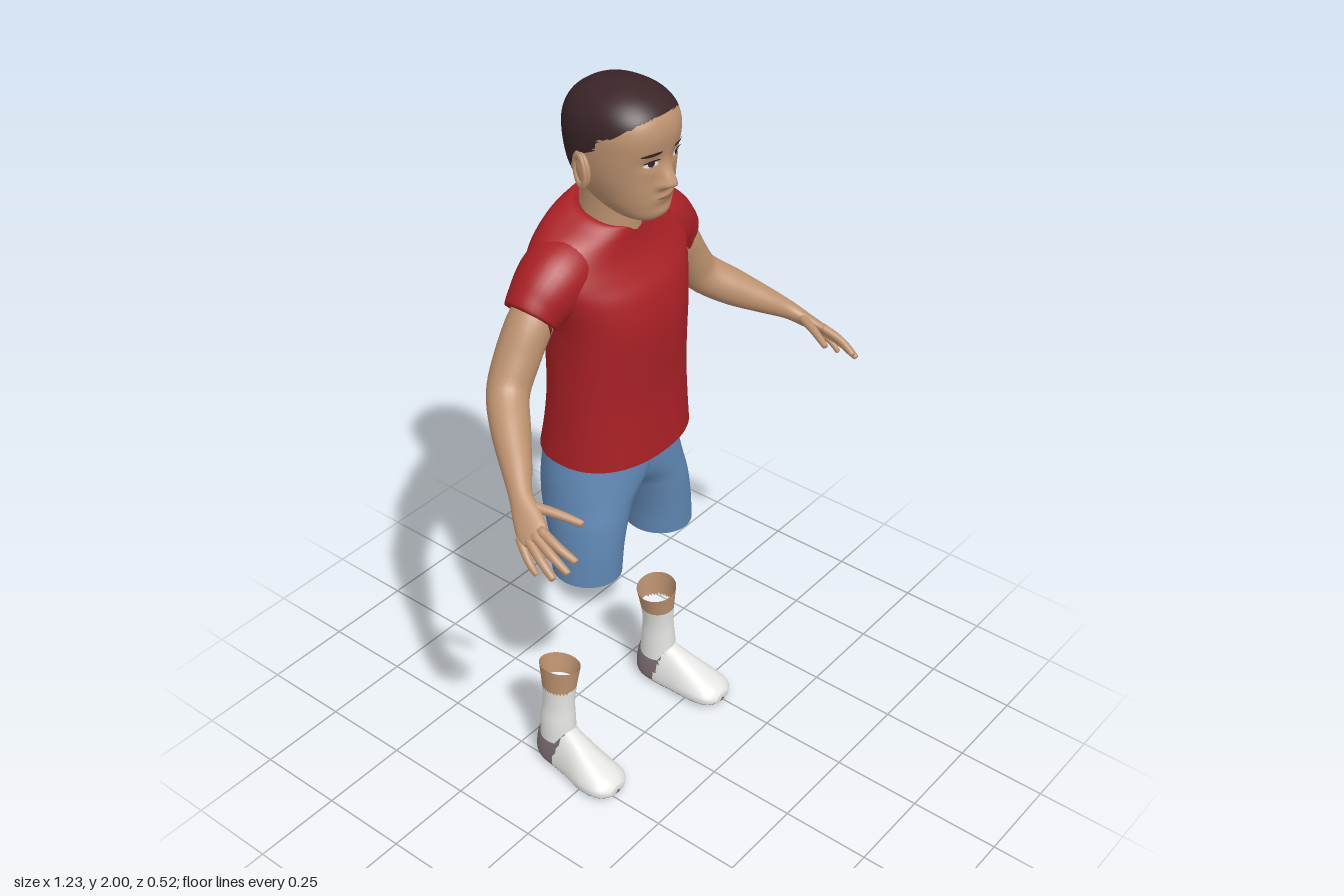
import * as THREE from 'three';
import { toCreasedNormals } from 'three/addons/utils/BufferGeometryUtils.js';

const mat = (name, color, side = THREE.FrontSide) => {
  const m = new THREE.MeshStandardMaterial({ color, side });
  m.name = name;
  return m;
};
const skin = mat('skin', 0xbd9270, THREE.DoubleSide);
const hair = mat('hair', 0x3a2427);
const red = mat('shirtRed', 0xa82025, THREE.DoubleSide);
const blue = mat('shortsBlue', 0x5f86b2, THREE.DoubleSide);
const white = mat('white', 0xe4e4e2);
const mauve = mat('heelMauve', 0x7c6d73);
const dark = mat('soleDark', 0x484a48);
const lip = mat('lip', 0x94624f);

// Smooth interpolation through rows of numbers, t from 0 to 1
function at(rows, t) {
  const f = Math.min(Math.max(t, 0), 1) * (rows.length - 1);
  const i = Math.min(Math.floor(f), rows.length - 2), u = f - i;
  const [a, b, c, d] = [-1, 0, 1, 2].map(k => rows[Math.min(Math.max(i + k, 0), rows.length - 1)]);
  return b.map((_, k) => b[k] + 0.5 * u * (c[k] - a[k] + u * (2 * a[k] - 5 * b[k] + 4 * c[k] - d[k]
    + u * (3 * (b[k] - c[k]) + d[k] - a[k]))));
}
const sample = (rows, n) => Array.from({ length: n + 1 }, (_, i) => at(rows, i / n));

// Skin a list of rings; each ring runs counter-clockwise around the direction of travel
function loft(rings, capStart = false, capEnd = false) {
  const n = rings[0].length, pos = rings.flat(2), idx = [];
  for (let i = 0; i < rings.length - 1; i++) for (let j = 0; j < n; j++) {
    const a = i * n + j, b = i * n + (j + 1) % n;
    idx.push(a, b, b + n, a, b + n, a + n);
  }
  const cap = (r, end) => {
    const c = pos.length / 3;
    for (let k = 0; k < 3; k++) pos.push(rings[r].reduce((s, p) => s + p[k], 0) / n);
    for (let j = 0; j < n; j++) {
      const a = r * n + j, b = r * n + (j + 1) % n;
      idx.push(c, ...(end ? [a, b] : [b, a]));
    }
  };
  if (capStart) cap(0, false);
  if (capEnd) cap(rings.length - 1, true);
  const g = new THREE.BufferGeometry();
  g.setAttribute('position', new THREE.Float32BufferAttribute(pos, 3));
  g.setIndex(idx);
  g.computeVertexNormals();
  return g;
}
const spow = (v, p) => Math.sign(v) * Math.abs(v) ** p;
const ring = (n, fn) => Array.from({ length: n }, (_, j) => fn(Math.cos(j / n * 2 * Math.PI), Math.sin(j / n * 2 * Math.PI)));

// Tube through rows [x, y, z, radius along 'up', other radius]
function tube(rows, up, steps, sides) {
  const rings = sample(rows, steps).map((r, i) => {
    const p = new THREE.Vector3(...at(rows, (i - 0.5) / steps)), q = new THREE.Vector3(...at(rows, (i + 0.5) / steps));
    const d = q.sub(p).normalize();
    const u = up.clone().addScaledVector(d, -up.dot(d)).normalize(), v = d.clone().cross(u);
    return ring(sides, (c, s) => [0, 1, 2].map(k => r[k] + r[3] * c * u.getComponent(k) + r[4] * s * v.getComponent(k)));
  });
  return loft(rings, true, true);
}

// Sort triangles into material groups by their centre point
function paint(g, pick, count) {
  const P = g.attributes.position, src = g.index.array, bins = Array.from({ length: count }, () => []);
  for (let i = 0; i < src.length; i += 3) {
    const t = [src[i], src[i + 1], src[i + 2]];
    const mid = f => (f(t[0]) + f(t[1]) + f(t[2])) / 3;
    bins[pick(mid(k => P.getX(k)), mid(k => P.getY(k)), mid(k => P.getZ(k)))].push(...t);
  }
  g.setIndex(bins.flat());
  let start = 0;
  bins.forEach((b, m) => { g.addGroup(start, b.length, m); start += b.length; });
  return g;
}
function mirror(g) {
  const m = g.clone().scale(-1, 1, 1), a = m.index.array;
  for (let i = 0; i < a.length; i += 3) [a[i + 1], a[i + 2]] = [a[i + 2], a[i + 1]];
  m.computeVertexNormals();
  return m;
}

// Head rows: height, half width, back z, front z
const headRows = [[1.675, .035, -.04, .035], [1.69, .062, -.08, .05], [1.72, .084, -.135, .057], [1.76, .101, -.18, .06],
  [1.80, .113, -.198, .06], [1.85, .12, -.208, .066], [1.90, .121, -.21, .071], [1.94, .111, -.198, .059],
  [1.97, .087, -.173, .028], [1.99, .05, -.13, -.015], [1.999, .012, -.075, -.055]];
const FACE = 2.3;
const bump = (x, y, cx, cy, w, h) => Math.exp(-(((x - cx) / w) ** 2) - ((y - cy) / h) ** 2);
// Nose, eye sockets, lips and chin
const relief = (x, y) => .036 * bump(x, y, 0, 1.78, .019, y > 1.78 ? .036 : .014)
  + .008 * bump(Math.abs(x), y, .019, 1.775, .01, .01)
  - .008 * bump(Math.abs(x), y, .045, 1.838, .026, .016)
  + .008 * bump(x, y, 0, 1.74, .03, .014) + .006 * bump(x, y, 0, 1.7, .03, .015);
function faceZ(x, y) {
  let lo = 0, hi = 1;
  for (let i = 0; i < 30; i++) {
    const m = (lo + hi) / 2;
    if (at(headRows, m)[0] < y) lo = m; else hi = m;
  }
  const [, rx, zb, zf] = at(headRows, lo);
  return (zb + zf) / 2 + (zf - zb) / 2 * Math.max(0, 1 - Math.abs(x / rx) ** FACE) ** (1 / FACE) + relief(x, y);
}
// Thin painted oval that follows the face
function oval(cx, cy, w, h, lift, turn = 0) {
  const g = new THREE.CircleGeometry(1, 20).scale(w, h, 1).rotateZ(turn).translate(cx, cy, 0), P = g.attributes.position;
  for (let i = 0; i < P.count; i++) P.setZ(i, faceZ(P.getX(i), P.getY(i)) + lift);
  g.computeVertexNormals();
  return g;
}
const hairline = [[-.165, 1.75], [-.145, 1.79], [-.11, 1.84], [-.055, 1.862], [-.04, 1.895], [0, 1.908], [.03, 1.93], [.055, 1.945]];
function hairY(z) {
  if (z <= hairline[0][0]) return hairline[0][1];
  for (let i = 1; i < hairline.length; i++) {
    const [z0, y0] = hairline[i - 1], [z1, y1] = hairline[i];
    if (z < z1) return y0 + (y1 - y0) * (z - z0) / (z1 - z0);
  }
  return 1.945;
}

export function createModel() {
  const model = new THREE.Group();
  model.name = 'boy';
  const add = (name, g, m) => {
    const mesh = new THREE.Mesh(g, m);
    mesh.name = name;
    model.add(mesh);
  };
  const pair = (name, g, m, finish = x => x) => {
    add(name + 'Left', finish(g), m);
    add(name + 'Right', finish(mirror(g)), m);
  };

  // Head with hair
  const head = loft(sample(headRows, 84).map(([y, rx, zb, zf]) => ring(96, (c, s) => {
    const x = rx * spow(c, 2 / FACE);
    return [x, y, (zb + zf) / 2 - (zf - zb) / 2 * spow(s, 2 / FACE) + (s < 0 ? relief(x, y) * Math.min(1, -s * 3) : 0)];
  })), true, true);
  add('head', paint(head, (x, y, z) => (y > hairY(z) ? 1 : 0), 2), [skin, hair]);
  add('neck', loft(sample([[1.58, .085, -.11, .085], [1.66, .074, -.103, .082], [1.72, .074, -.1, .08], [1.78, .08, -.1, .08]], 10)
    .map(([y, rx, cz, rz]) => ring(32, (c, s) => [rx * c, y, cz - rz * s]))), skin);

  // Ears
  const place = g => g.rotateX(-.2).rotateY(.3).translate(.122, 1.81, -.083);
  pair('ear', place(new THREE.SphereGeometry(1, 20, 14).scale(.012, .042, .026)), skin);
  pair('earRim', place(new THREE.TorusGeometry(.021, .006, 8, 24).rotateY(Math.PI / 2).scale(1, 1.75, 1).translate(.009, 0, 0)), skin);

  // Face details
  pair('eyeWhite', oval(.046, 1.836, .019, .008, .003), white);
  pair('iris', oval(.045, 1.837, .0085, .008, .005), hair);
  pair('eyelid', oval(.047, 1.844, .022, .003, .006, -.1), hair);
  pair('eyebrow', oval(.048, 1.862, .027, .0045, .003, -.06), hair);
  add('mouth', oval(0, 1.742, .03, .0045, .003), lip);

  // Shirt body: height, half width, centre z, half depth, tilt of the ring
  const shirt = [[1.02, .212, -.098, .161, 0], [1.1, .205, -.093, .151, 0], [1.2, .199, -.09, .144, 0], [1.3, .196, -.09, .148, 0],
    [1.4, .2, -.091, .15, 0], [1.48, .222, -.104, .145, 0], [1.54, .245, -.117, .13, .1], [1.59, .235, -.123, .114, .2],
    [1.635, .185, -.12, .1, .3], [1.66, .125, -.113, .09, .35], [1.672, .088, -.11, .082, .35], [1.66, .07, -.108, .07, .35]];
  add('shirtBody', loft(sample(shirt, 66).map(([y, rx, cz, rz, t]) =>
    ring(64, (c, s) => [rx * spow(c, .88), y + t * rz * s, cz - rz * spow(s, .88)]))), red);
  pair('sleeve', tube([[.1, 1.565, -.122, .08, .085], [.17, 1.548, -.122, .09, .09], [.215, 1.52, -.123, .089, .085],
    [.25, 1.493, -.125, .08, .074], [.274, 1.472, -.125, .07, .066], [.268, 1.475, -.125, .056, .056]],
  new THREE.Vector3(.46, .887, 0), 20, 32), red);

  // Arms and palms
  const across = new THREE.Vector3(-.46, .4, .79);
  pair('arm', tube([[.2, 1.525, -.125, .054, .054], [.272, 1.46, -.125, .057, .057], [.325, 1.38, -.126, .056, .055],
    [.372, 1.31, -.115, .052, .053], [.43, 1.26, -.055, .047, .049], [.487, 1.218, .012, .037, .036], [.528, 1.187, .06, .029, .025],
    [.553, 1.16, .1, .036, .019], [.572, 1.138, .133, .039, .015], [.58, 1.128, .15, .03, .009]], across, 48, 28), skin);

  // Fingers: base, middle, tip
  const fingers = {
    index: [[.562, 1.15, .148], [.567, 1.13, .205], [.56, 1.107, .25]],
    middle: [[.574, 1.139, .14], [.584, 1.113, .202], [.583, 1.086, .246]],
    ring: [[.582, 1.128, .126], [.6, 1.1, .182], [.606, 1.072, .222]],
    pinky: [[.588, 1.12, .108], [.606, 1.088, .148], [.609, 1.062, .174]],
    thumb: [[.538, 1.178, .09], [.512, 1.168, .155], [.489, 1.152, .208]],
  };
  for (const [name, [a, b, c]] of Object.entries(fingers)) {
    const k = name === 'pinky' ? .85 : 1, tip = c.map((v, i) => v + (c[i] - b[i]) * .08);
    pair(name + 'Finger', tube([[...a, .013 * k, .012 * k], [...b, .0115 * k, .011 * k], [...c, .009 * k, .008 * k],
      [...tip, .004, .004]], across, 12, 12), skin);
  }

  // Shorts: height, centre x, half width, centre z, half depth; halves meet on the middle plane
  const leg = sample([[.667, .148, .088, -.075, .095], [.75, .14, .09, -.08, .102], [.83, .122, .102, -.095, .117],
    [.88, .1, .117, -.107, .127], [.95, .045, .166, -.116, .137], [1.02, 0, .2, -.118, .138], [1.08, 0, .192, -.11, .13]], 36)
    .map(([y, cx, rx, cz, rz]) => ring(64, (c, s) => [Math.max(0, cx + rx * c), y, cz - rz * s]));
  pair('shortsLeg', loft(leg), blue, g => toCreasedNormals(g, .9));

  // Lower legs with socks, open at the top
  const shin = sample([[.09, .222, .048, -.13, .054, 0], [.15, .222, .046, -.13, .052, 0], [.21, .219, .042, -.128, .047, 0],
    [.27, .215, .046, -.128, .05, .08], [.337, .21, .055, -.128, .058, .22]], 28)
    .map(([y, cx, rx, cz, rz, t]) => ring(32, (c, s) => [cx + rx * c, y + t * rx * c, cz - rz * s]));
  pair('lowerLeg', paint(loft(shin), (x, y) => (y > .268 ? 1 : 0), 2), [white, skin]);

  // Shoes: z, centre x, half width, bottom, top
  const shoe = sample([[-.192, .222, .02, .03, .09], [-.18, .222, .037, .01, .118], [-.15, .222, .05, .002, .134], [-.1, .224, .055, 0, .138],
    [-.06, .228, .058, 0, .122], [0, .235, .065, 0, .092], [.05, .238, .064, .001, .068], [.08, .238, .052, .005, .053],
    [.098, .238, .028, .012, .036]], 40)
    .map(([z, cx, w, y0, y1]) => ring(40, (c, s) => {
      const h = (y1 - y0) / 2, low = y0 + Math.min(.03, h);
      const narrow = 1 - .18 * Math.max(0, s);
      return [cx + w * narrow * spow(c, .8), s > 0 ? low + (y1 - low) * s : low - (low - y0) * Math.abs(s) ** .5, z];
    }));
  pair('shoe', paint(loft(shoe, true, true),
    (x, y, z) => (y < .007 ? 2 : z < -.085 - (.13 - y) * .25 || y < .016 ? 1 : 0), 3), [white, mauve, dark]);
  return model;
}
